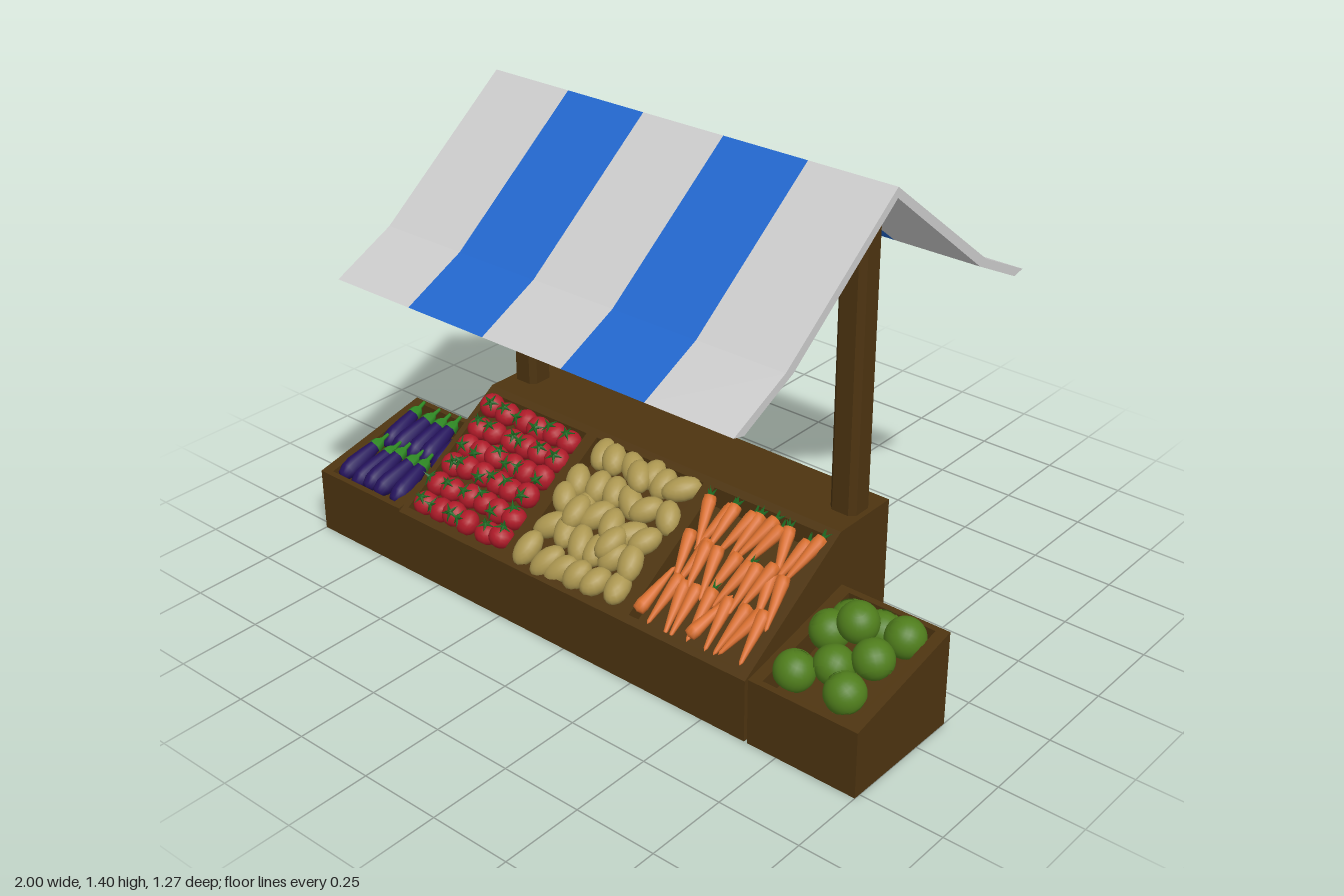
import * as THREE from 'three';

const mat = (color, extra = {}) => new THREE.MeshStandardMaterial({ color, ...extra });
const M = {
  wood: mat(0x4d3410), white: mat(0xcccccc), blue: mat(0x2266cc),
  tomato: mat(0xae1a28), potato: mat(0xab9650), carrot: mat(0xd96f2e),
  cabbage: mat(0x4f7d1c, { side: THREE.DoubleSide }), eggplant: mat(0x24125c),
  leaf: mat(0x1f6b22), stem: mat(0x2f8a24),
};

let seed = 7;
const rand = () => ((seed = (seed * 16807) % 2147483647) / 2147483647);
const jitter = (a) => (rand() * 2 - 1) * a;

function mesh(name, geometry, material, parent) {
  const m = new THREE.Mesh(geometry, material);
  m.name = name;
  parent.add(m);
  return m;
}

// Extrude a [z, y] outline along x, from x0 to x1
function extrudeX(points, x0, x1) {
  const shape = new THREE.Shape(points.map(([z, y]) => new THREE.Vector2(-z, y)));
  const g = new THREE.ExtrudeGeometry(shape, { depth: x1 - x0, bevelEnabled: false });
  return g.rotateY(Math.PI / 2).translate(x0, 0, 0);
}

// Sloped wooden bin: solid sections between the openings, recessed sections inside them
function bin(name, parent, { x0, x1, back, top, front, openings, rim, depth }) {
  const group = new THREE.Group();
  group.name = name;
  parent.add(group);
  const at = (t, drop = 0) => [
    THREE.MathUtils.lerp(top[0], front[0], t), THREE.MathUtils.lerp(top[1], front[1], t) - drop];
  const start = [[front[0], 0], [back, 0]];
  if (back < top[0]) start.push([back, top[1]]);
  const solid = [...start, top, front].reverse();
  const recessed = [...start, top, at(rim), at(rim, depth),
    at(1 - rim, depth), at(1 - rim), front].reverse();
  let x = x0;
  for (const [a, b] of openings) {
    mesh('divider', extrudeX(solid, x, a), M.wood, group);
    mesh('tray', extrudeX(recessed, a, b), M.wood, group);
    x = b;
  }
  mesh('divider', extrudeX(solid, x, x1), M.wood, group);

  // One holder per opening: x across, z down the slope, y out of it
  const run = front[0] - top[0], fall = top[1] - front[1];
  return openings.map(([a, b]) => {
    const holder = new THREE.Group();
    const [z, y] = at(0.5);
    holder.position.set((a + b) / 2, y, z);
    holder.rotation.x = Math.atan2(fall, run);
    holder.userData = { w: b - a, l: Math.hypot(run, fall) * (1 - 2 * rim) };
    group.add(holder);
    return holder;
  });
}

// Lay items in a loose grid over a holder
function fill(holder, name, make, nx, nz, { margin, y, shift, place }) {
  holder.name = name;
  const { w, l } = holder.userData;
  const spread = (i, n, size, m) => (n > 1 ? (i / (n - 1) - 0.5) * (size - 2 * m) : 0);
  for (let j = 0; j < nz; j++) for (let i = 0; i < nx; i++) {
    const item = make(i, j);
    item.rotation.order = 'YXZ';
    item.position.set(spread(i, nx, w, margin[0]) + jitter(shift), y + jitter(0.008),
      spread(j, nz, l, margin[1]) + jitter(shift));
    place(item, i, j);
    holder.add(item);
  }
}

const ball = new THREE.SphereGeometry(1, 14, 10);
const lathe = (pts, n) => new THREE.LatheGeometry(pts.map(([r, y]) => new THREE.Vector2(r, y)), n);
const carrotBody = lathe([[0, -0.09], [0.006, -0.08], [0.014, -0.01], [0.02, 0.05], [0.018, 0.068], [0, 0.074]], 9);
const eggplantBody = lathe([[0, -0.1], [0.018, -0.094], [0.028, -0.07], [0.03, -0.045],
  [0.025, 0], [0.019, 0.04], [0.013, 0.066], [0, 0.072]], 12);
const calyx = lathe([[0.024, 0.04], [0.019, 0.062], [0.007, 0.076], [0.005, 0.1], [0, 0.101]], 6);
const spike = new THREE.ConeGeometry(0.007, 0.03, 4).translate(0, 0.015, 0);
const cabbageLeaf = new THREE.SphereGeometry(1.05, 8, 8, 0, 2.1, 0.35, 1.8);

function tomato() {
  const g = new THREE.Group();
  mesh('tomatoBody', ball, M.tomato, g).scale.set(0.038, 0.033, 0.038);
  // Five small leaves and a stalk
  for (let k = 0; k < 5; k++) {
    const leaf = mesh('tomatoLeaf', spike, M.leaf, g);
    leaf.rotation.order = 'YXZ';
    leaf.rotation.set(1.75, (k * Math.PI * 2) / 5, 0);
    leaf.position.y = 0.034;
  }
  mesh('tomatoStalk', spike, M.leaf, g).position.y = 0.03;
  return g;
}

function potato() {
  const g = new THREE.Group();
  mesh('potatoBody', ball, M.potato, g).scale.set(0.036, 0.033, 0.054 + jitter(0.006));
  return g;
}

function carrot(leafy) {
  const g = new THREE.Group();
  mesh('carrotBody', carrotBody, M.carrot, g);
  for (let k = 0; leafy && k < 4; k++) {
    const leaf = mesh('carrotTop', spike, M.leaf, g);
    leaf.position.y = 0.068;
    leaf.rotation.set(Math.sin(k * 1.57) * 0.5, 0, Math.cos(k * 1.57) * 0.5);
  }
  return g;
}

function eggplant() {
  const g = new THREE.Group();
  mesh('eggplantBody', eggplantBody, M.eggplant, g);
  mesh('eggplantCap', calyx, M.stem, g);
  return g;
}

function cabbage(r) {
  const g = new THREE.Group();
  mesh('cabbageHead', ball, M.cabbage, g);
  // Overlapping outer leaves
  for (let k = 0; k < 4; k++) {
    mesh('cabbageLeaf', cabbageLeaf, M.cabbage, g).rotation.set(0.25, k * 1.57, 0.15 * (k % 2));
  }
  g.scale.setScalar(r);
  return g;
}

export function createModel() {
  seed = 7;
  const model = new THREE.Group();
  model.name = 'marketStall';

  // Bins
  const [tomatoes, potatoes, carrots] = bin('mainCounter', model, {
    x0: -0.655, x1: 0.645, back: -0.1, top: [0.12, 0.45], front: [0.52, 0.19],
    openings: [[-0.635, -0.25], [-0.21, 0.19], [0.23, 0.62]], rim: 0.05, depth: 0.06 });
  const crate = { back: 0.12, top: [0.12, 0.29], front: [0.52, 0.2], rim: 0.04, depth: 0.07 };
  const [eggplants] = bin('rightCrate', model,
    { ...crate, x0: -1, x1: -0.655, openings: [[-0.965, -0.69]] });
  bin('leftCrate', model, { ...crate, x0: 0.655, x1: 1, openings: [[0.69, 0.965]] });

  // Produce on the counter
  fill(tomatoes, 'tomatoes', tomato, 6, 6, { margin: [0.038, 0.04], y: -0.004, shift: 0.006,
    place: (t) => t.rotation.set(jitter(0.7), rand() * 6, jitter(0.5)) });
  fill(potatoes, 'potatoes', potato, 6, 5, { margin: [0.04, 0.045], y: -0.002, shift: 0.012,
    place: (p) => p.rotation.set(jitter(0.2), jitter(0.8), 0) });
  for (const [x, z] of [[0.02, -0.15], [-0.09, 0.02], [0.07, 0.06]]) {
    const p = potato();
    p.position.set(x, 0.02, z);
    p.rotation.y = jitter(1);
    potatoes.add(p);
  }
  fill(carrots, 'carrots', (i, j) => carrot(j === 0 || (i + j) % 6 === 0), 10, 3, {
    margin: [0.03, 0.09], y: -0.004, shift: 0.012,
    place: (c, i, j) => {
      c.rotation.set(-Math.PI / 2 + 0.08, jitter(0.35), 0);
      if (j === 2 && i % 5 === 0) c.rotation.y += Math.PI;
    } });

  // Produce in the crates
  fill(eggplants, 'eggplants', eggplant, 5, 2, { margin: [0.03, 0.1], y: 0.0, shift: 0.004,
    place: (e, i, j) => {
      e.rotation.set(-Math.PI / 2 + 0.15, jitter(0.12), 0);
      e.position.z = j ? 0.085 : -0.09;
    } });
  const heads = new THREE.Group();
  heads.name = 'cabbages';
  model.add(heads);
  const spots = [[0.74, 0.25, 0.19], [0.83, 0.25, 0.18], [0.91, 0.27, 0.19], [0.75, 0.28, 0.3],
    [0.83, 0.335, 0.29], [0.915, 0.285, 0.34], [0.75, 0.235, 0.45], [0.83, 0.255, 0.39], [0.905, 0.235, 0.445]];
  for (const [x, y, z] of spots) {
    const c = cabbage(0.054);
    c.position.set(x, y, z);
    c.rotation.set(jitter(0.8), rand() * 6, jitter(0.8));
    heads.add(c);
  }

  // Posts with chamfered edges
  const o = 0.032, c = 0.022;
  const outline = new THREE.Shape([[o, c], [c, o], [-c, o], [-o, c], [-o, -c], [-c, -o], [c, -o], [o, -c]]
    .map(([x, y]) => new THREE.Vector2(x, y)));
  const postGeo = new THREE.ExtrudeGeometry(outline,
    { depth: 0.92, bevelSize: 0.011, bevelThickness: 0.012, bevelSegments: 1 }).rotateX(-Math.PI / 2);
  for (const x of [-0.6, 0.585]) mesh('post', postGeo, M.wood, model).position.set(x, 0.423, 0);

  // Striped awning
  const outer = [[0.635, 0.965], [0.44, 1.06], [0, 1.402]];
  const inner = [[0, 1.372], [0.41, 1.048], [0.595, 0.956]];
  const flip = (pts) => pts.map(([z, y]) => [-z, y]).reverse();
  const section = [...outer, ...flip(outer).slice(1), ...flip(inner), ...inner.slice(1)];
  const awning = new THREE.Group();
  awning.name = 'awning';
  model.add(awning);
  const edges = [-0.7, -0.42, -0.143, 0.135, 0.412, 0.69];
  for (let i = 0; i < 5; i++) {
    mesh('stripe', extrudeX(section, edges[i], edges[i + 1]), i % 2 ? M.blue : M.white, awning);
  }
  return model;
}
